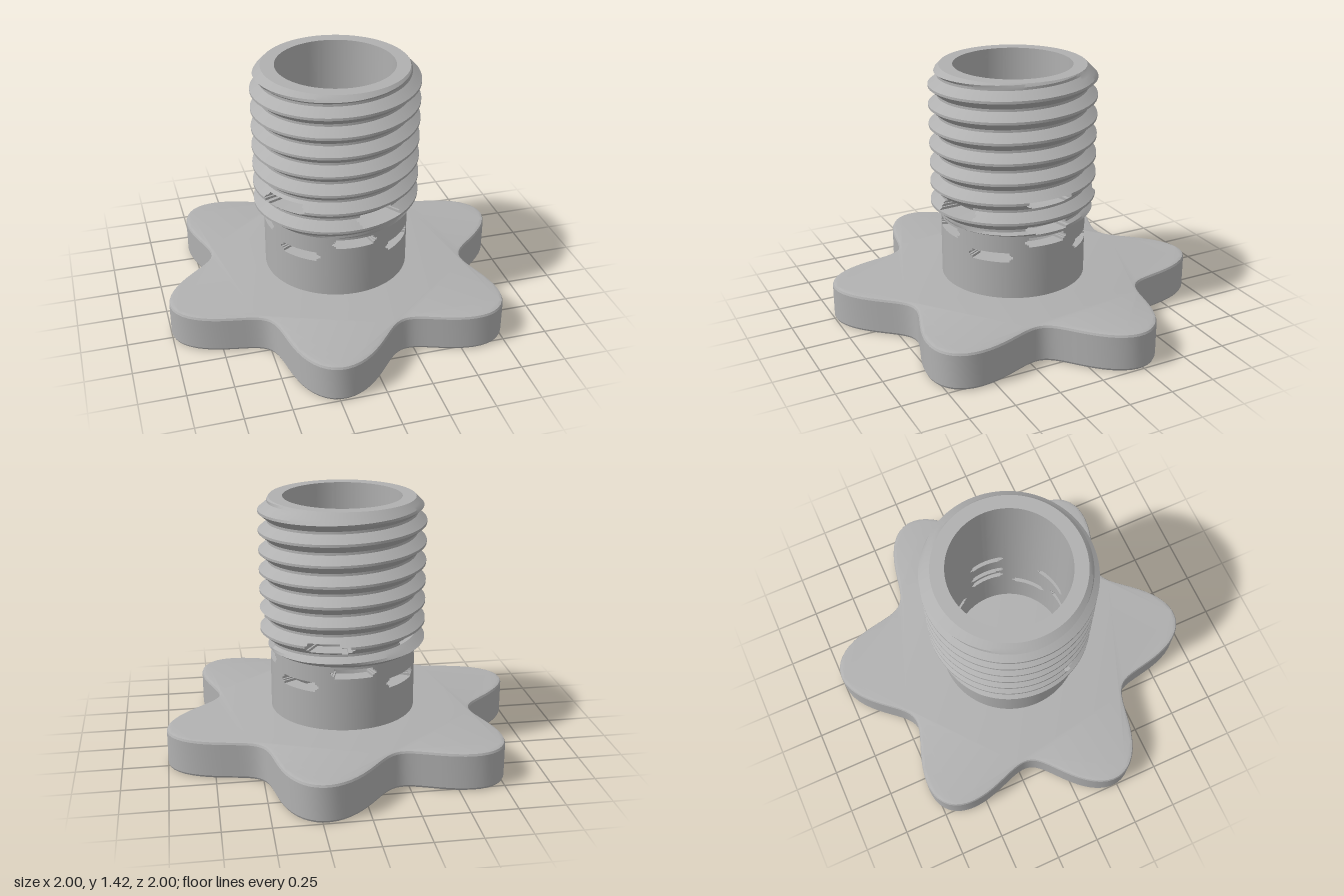
import * as THREE from 'three';
import { toCreasedNormals } from 'three/addons/utils/BufferGeometryUtils.js';

const COLS = 240;
const TAU = Math.PI * 2;
const BORE = 0.325;
const NECK = 0.405;
const THREAD_BOTTOM = 0.58;
const TOP = 1.42;
const PITCH = 0.111;
const SLOT_HALF = 0.0275;

// Slots as [angle in degrees from the front, height]
const neckSlots = [];
for (let i = 0; i < 4; i++) neckSlots.push([i * 90, 0.54], [i * 90 + 45, 0.455]);
const threadSlots = [[90, 0.62], [90, 0.77], [18, 0.69], [162, 0.69], [234, 0.69], [306, 0.755]];

// True inside a long slot with pointed ends
function inSlot(slots, deg, y) {
  return slots.some(([a, h]) => {
    const dy = Math.abs(y - h) / SLOT_HALF;
    const da = Math.abs(((deg - a + 540) % 360) - 180);
    return dy < 1 && da < 18 - 4 * dy;
  });
}

// Pierced tube wall: height(row, angle) and radius(row, y) shape the outside, the bore is round
function tubeWall(rows, height, radius, slots, material) {
  const pos = [];
  const point = (k, c, inside) => {
    const a = (c / COLS) * TAU;
    const y = height(k, a);
    const r = inside ? BORE : radius(k, y);
    return new THREE.Vector3(r * Math.sin(a), y, r * Math.cos(a));
  };
  const tri = (a, b, c) => {
    const area = b.clone().sub(a).cross(c.clone().sub(a)).length();
    if (area > 1e-9) for (const p of [a, b, c]) pos.push(p.x, p.y, p.z);
  };
  const quad = (a, b, c, d) => { tri(a, b, c); tri(a, c, d); };
  const hole = (k, c) => {
    const col = (c + COLS) % COLS;
    const a = ((col + 0.5) / COLS) * TAU;
    return inSlot(slots, (a / TAU) * 360, (height(k, a) + height(k + 1, a)) / 2);
  };
  for (let k = 0; k < rows; k++) {
    for (let c = 0; c < COLS; c++) {
      const o = [point(k, c), point(k, c + 1), point(k + 1, c + 1), point(k + 1, c)];
      const n = [point(k, c, true), point(k, c + 1, true), point(k + 1, c + 1, true), point(k + 1, c, true)];
      if (!hole(k, c)) {
        quad(o[0], o[1], o[2], o[3]);
        quad(n[3], n[2], n[1], n[0]);
        continue;
      }
      // Slot sides through the wall thickness
      if (!hole(k - 1, c)) quad(o[0], o[1], n[1], n[0]);
      if (!hole(k + 1, c)) quad(n[3], n[2], o[2], o[3]);
      if (!hole(k, c + 1)) quad(o[1], o[2], n[2], n[1]);
      if (!hole(k, c - 1)) quad(n[0], n[3], o[3], o[0]);
    }
  }
  const geo = new THREE.BufferGeometry();
  geo.setAttribute('position', new THREE.Float32BufferAttribute(pos, 3));
  return new THREE.Mesh(toCreasedNormals(geo, 0.4), material);
}

export function createModel() {
  const model = new THREE.Group();
  const grey = new THREE.MeshStandardMaterial({ color: 0xb0b0b0 });
  grey.name = 'grey';
  const add = (mesh, name) => { mesh.name = name; model.add(mesh); };

  // Six-lobed grip with softened rims
  const outline = [];
  for (let i = 0; i < 180; i++) {
    const a = (i / 180) * TAU;
    const r = 0.877 + 0.153 * Math.cos(6 * (a - Math.PI / 12));
    outline.push(new THREE.Vector2(r * Math.cos(a), r * Math.sin(a)));
  }
  const grip = new THREE.ExtrudeGeometry(new THREE.Shape(outline), {
    depth: 0.183, bevelEnabled: true, bevelThickness: 0.016, bevelSize: 0.018,
    bevelOffset: -0.018, bevelSegments: 2,
  });
  grip.rotateX(-Math.PI / 2).translate(0, 0.016, 0);
  add(new THREE.Mesh(toCreasedNormals(grip, 0.4), grey), 'lobedGrip');

  // Plain neck with two staggered rows of slots
  const slotRows = (y) => Array.from({ length: 9 }, (_, i) => y + SLOT_HALF * (i / 4 - 1));
  const neckRows = [0.21, ...slotRows(0.455), ...slotRows(0.54), THREAD_BOTTOM];
  add(tubeWall(neckRows.length - 1,
    (k) => neckRows[Math.max(0, Math.min(neckRows.length - 1, k))],
    () => NECK, neckSlots, grey), 'slottedNeck');

  // Right-handed screw thread, its rows following the helix, fading out at both ends
  const profile = [0.41, 0.41, 0.427, 0.443, 0.46, 0.46, 0.443, 0.427];
  const threadHeight = (k, a) => THREE.MathUtils.clamp(
    0.367 + PITCH * (k / 8 + a / TAU), THREAD_BOTTOM, TOP);
  const threadRadius = (k, y) => Math.min(
    profile[k % 8], NECK + (y - THREAD_BOTTOM) * 1.5, 0.4 + (TOP - y));
  add(tubeWall(80, threadHeight, threadRadius, threadSlots, grey), 'screwThread');

  // Flat rim around the open bore
  const rim = new THREE.RingGeometry(BORE, 0.4, COLS);
  rim.rotateX(-Math.PI / 2).translate(0, TOP, 0);
  add(new THREE.Mesh(rim, grey), 'topRim');

  return model;
}
